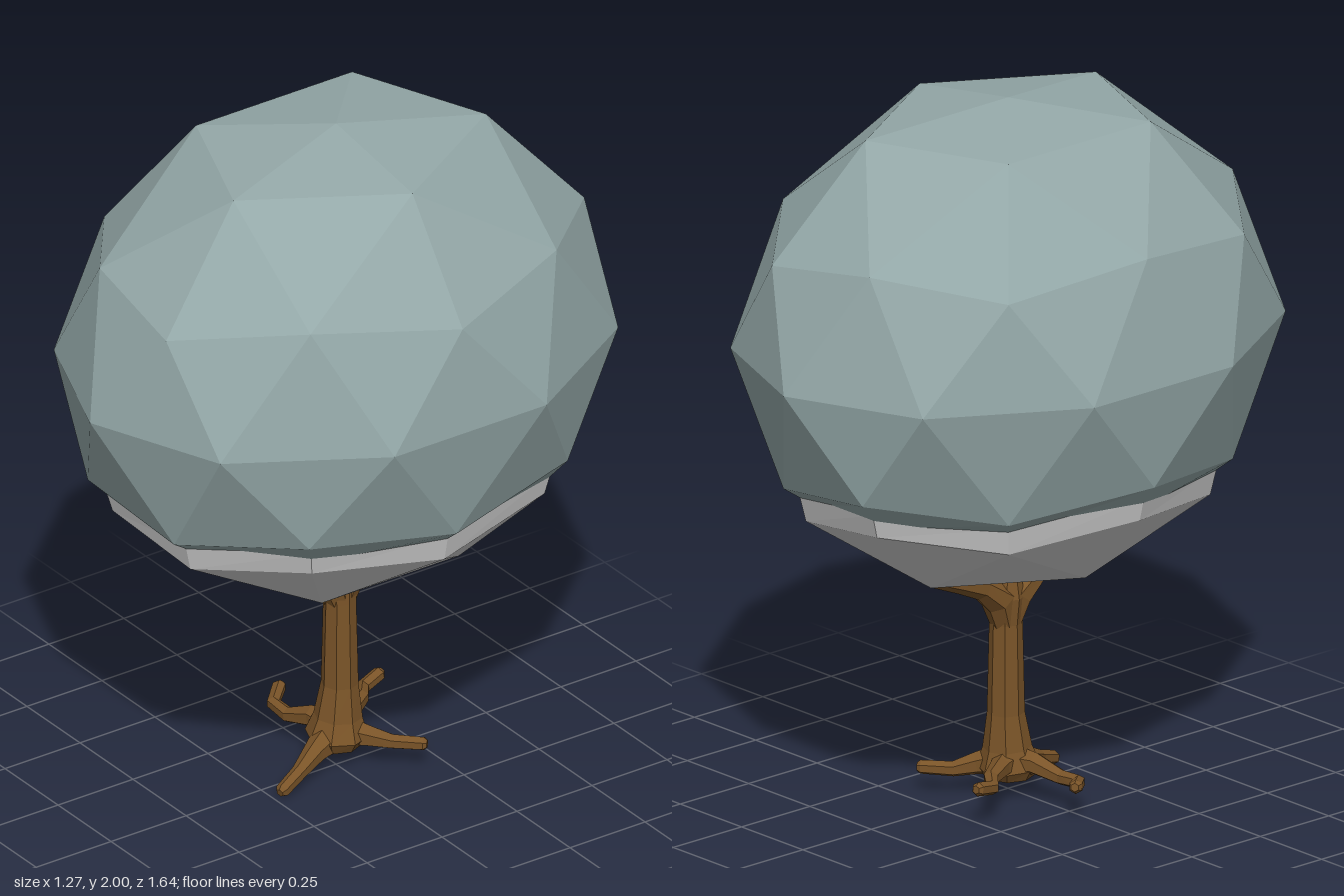
import * as THREE from 'three';

const RX = 0.668, RY = 0.67, RZ = 0.82, CY = 1.33;
const mat = (color) => new THREE.MeshStandardMaterial({ color, flatShading: true, roughness: 0.9 });

// Ring of n points around the crown; even and odd points may differ in radius and height
function ring(n, startDeg, even, odd = even) {
  return Array.from({ length: n }, (_, i) => {
    const a = THREE.MathUtils.degToRad(startDeg + (i * 360) / n);
    const [r, y] = i % 2 && n === 10 ? odd : even;
    return [r * RX * Math.cos(a), y, r * RZ * Math.sin(a)];
  });
}

// Collects triangles in bands between rings
function faceted() {
  const pos = [];
  const at = (r, i) => r[(i + r.length) % r.length];
  const tri = (a, b, c) => pos.push(...a, ...b, ...c);
  return {
    // pole, five-point ring and ten-point ring; shift is the index below the first ring point
    cap(pole, five, ten, shift, down) {
      const t = down ? tri : (a, b, c) => tri(a, c, b);
      for (let k = 0; k < 5; k++) {
        const j = 2 * k + shift, m = five[k], next = at(five, k + 1);
        t(pole, m, next);
        t(m, at(ten, j - 1), at(ten, j));
        t(m, at(ten, j), at(ten, j + 1));
        t(m, at(ten, j + 1), next);
      }
    },
    // lower ring is turned by half a step
    stagger(up, low, shift) {
      for (let j = 0; j < 10; j++) {
        tri(at(up, j), at(up, j + 1), at(low, j + shift));
        tri(at(up, j), at(low, j + shift), at(low, j + shift - 1));
      }
    },
    band(up, low) {
      for (let j = 0; j < 10; j++) {
        tri(at(up, j), at(up, j + 1), at(low, j + 1));
        tri(at(up, j), at(low, j + 1), at(low, j));
      }
    },
    build: () => geometry(pos),
  };
}

function geometry(pos) {
  const g = new THREE.BufferGeometry();
  g.setAttribute('position', new THREE.Float32BufferAttribute(pos, 3));
  g.computeVertexNormals();
  return g;
}

// Tapered limb through [x, y, z, radius] stations, with closed ends
function limb(stations, ref, sides = 7) {
  const pts = stations.map(([x, y, z]) => new THREE.Vector3(x, y, z));
  const rings = pts.map((p, i) => {
    const t = pts[Math.min(i + 1, pts.length - 1)].clone().sub(pts[Math.max(i - 1, 0)]).normalize();
    const u = ref.clone().addScaledVector(t, -ref.dot(t)).normalize();
    const v = t.clone().cross(u);
    return Array.from({ length: sides }, (_, s) => {
      const a = (s / sides) * Math.PI * 2, r = stations[i][3];
      return p.clone().addScaledVector(u, r * Math.cos(a)).addScaledVector(v, r * Math.sin(a));
    });
  });
  const pos = [];
  const tri = (...vs) => vs.forEach((v) => pos.push(v.x, v.y, v.z));
  const last = rings.length - 1;
  for (let s = 0; s < sides; s++) {
    const n = (s + 1) % sides;
    for (let i = 0; i < last; i++) {
      const a = rings[i], b = rings[i + 1];
      tri(a[s], a[n], b[n]);
      tri(a[s], b[n], b[s]);
    }
    tri(pts[0], rings[0][n], rings[0][s]);
    tri(pts[last], rings[last][s], rings[last][n]);
  }
  return geometry(pos);
}

export function createModel() {
  const group = new THREE.Group();
  const add = (name, geo, material) => {
    const mesh = new THREE.Mesh(geo, material);
    mesh.name = name;
    group.add(mesh);
  };
  const leaf = mat(0x94a8a8), under = mat(0xcccccc), bark = mat(0x7a5428);

  // Upper foliage: faceted dome with an inward lip
  const dome = faceted();
  const upper = ring(10, 0, [0.894, CY + 0.447 * RY], [0.851, CY + 0.526 * RY]);
  const equator = ring(10, 18, [1, CY]);
  const lower = ring(10, 0, [0.851, 0.98], [0.894, 1.03]);
  const lip = ring(10, 0, [0.75, 0.925], [0.79, 0.945]);
  dome.cap([0, CY + RY, 0], ring(5, 0, [0.54, 1.945]), upper, 0, false);
  dome.stagger(upper, equator, 0);
  dome.stagger(equator, lower, 1);
  dome.band(lower, lip);
  add('upperFoliage', dome.build(), leaf);

  // Lower foliage: shallow bowl tucked under the lip
  const bowl = faceted();
  const rim = ring(10, 0, [0.791, 0.955], [0.831, 0.99]);
  const belly = ring(10, 0, [0.766, 0.875], [0.805, 0.92]);
  bowl.band(rim, belly);
  bowl.cap([0, 0.68, 0], ring(5, 36, [0.473, 0.695]), belly, 1, true);
  add('lowerFoliage', bowl.build(), under);

  // Trunk with flared foot
  const X = new THREE.Vector3(1, 0, 0), Y = new THREE.Vector3(0, 1, 0);
  add('trunk', limb([
    [-0.025, 0.055, -0.02, 0.07], [-0.025, 0.085, -0.02, 0.088], [-0.025, 0.14, -0.025, 0.068],
    [-0.025, 0.24, -0.03, 0.052], [-0.025, 0.5, -0.03, 0.046], [-0.03, 0.58, -0.03, 0.05],
    [-0.035, 0.635, -0.03, 0.035],
  ], X, 8), bark);

  // Two branches forking to front and back
  for (const [name, s] of [['frontBranch', 1], ['backBranch', -1]]) {
    const z = (d) => -0.03 + s * d;
    add(name, limb([
      [-0.025, 0.49, z(0.0), 0.04], [-0.028, 0.575, z(0.03), 0.05], [-0.035, 0.625, z(0.1), 0.036],
      [-0.04, 0.655, z(0.18), 0.029], [-0.042, 0.69, z(0.275), 0.024], [-0.042, 0.694, z(0.285), 0.014],
    ], X), bark);
  }

  // Four roots
  const roots = {
    frontRoot: [[-0.02, 0.09, 0, 0.05], [0.01, 0.07, 0.08, 0.032], [0.04, 0.047, 0.15, 0.022], [0.065, 0.023, 0.225, 0.02], [0.068, 0.02, 0.235, 0.012]],
    leftRoot: [[-0.02, 0.1, -0.02, 0.05], [0.04, 0.085, -0.08, 0.032], [0.08, 0.07, -0.13, 0.022], [0.145, 0.073, -0.19, 0.02], [0.152, 0.073, -0.197, 0.012]],
    backRoot: [[-0.03, 0.1, -0.02, 0.05], [-0.07, 0.105, -0.09, 0.03], [-0.12, 0.105, -0.17, 0.022], [-0.17, 0.1, -0.21, 0.02], [-0.185, 0.115, -0.275, 0.02], [-0.187, 0.116, -0.285, 0.012]],
    rightRoot: [[-0.04, 0.1, -0.02, 0.05], [-0.11, 0.105, 0.0, 0.032], [-0.19, 0.08, 0.025, 0.022], [-0.26, 0.085, 0.025, 0.02], [-0.31, 0.097, -0.03, 0.02], [-0.317, 0.099, -0.04, 0.012]],
  };
  for (const [name, path] of Object.entries(roots)) add(name, limb(path, Y, 6), bark);

  return group;
}
